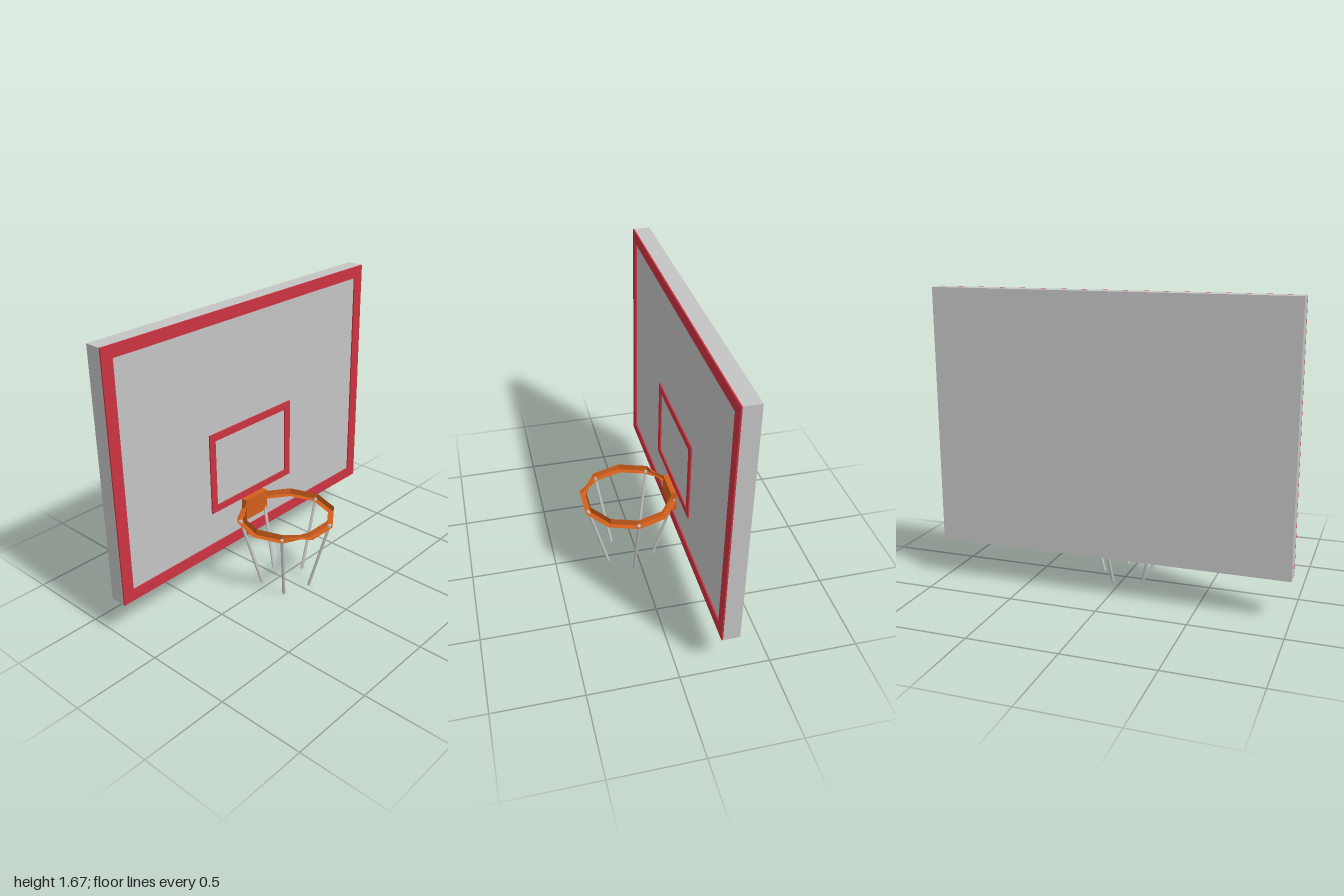
import * as THREE from 'three';

const mat = (name, color) => {
  const m = new THREE.MeshStandardMaterial({ color });
  m.name = name;
  return m;
};

// Rectangular frame with a rectangular hole, extruded along z
function frameGeometry(w, y0, y1, hw, hy0, hy1, depth) {
  const rect = (target, x, a, b) => {
    target.moveTo(-x, a);
    target.lineTo(x, a);
    target.lineTo(x, b);
    target.lineTo(-x, b);
    target.closePath();
    return target;
  };
  const shape = rect(new THREE.Shape(), w, y0, y1);
  shape.holes.push(rect(new THREE.Path(), hw, hy0, hy1));
  return new THREE.ExtrudeGeometry(shape, { depth, bevelEnabled: false });
}

// Ten-sided hoop of square section; the sections on the -x side are turned a quarter
function hoopGeometry(inner, outer, y0, y1) {
  const sides = 10;
  const corners = [[outer, y1], [outer, y0], [inner, y0], [inner, y1]];
  const turned = (i) => i % sides >= 4 && i % sides <= 6;
  const point = (i, j) => {
    const a = (i / sides) * Math.PI * 2;
    const [r, y] = corners[(j + (turned(i) ? 0 : 1)) % 4];
    return [r * Math.cos(a), y, r * Math.sin(a)];
  };
  const pos = [];
  for (let i = 0; i < sides; i++) {
    for (let j = 0; j < 4; j++) {
      const a = point(i, j), b = point(i, j + 1);
      const c = point(i + 1, j + 1), d = point(i + 1, j);
      // Fold each face inward where the section turns
      if (turned(i + 1) && !turned(i)) pos.push(...a, ...d, ...b, ...b, ...d, ...c);
      else pos.push(...a, ...d, ...c, ...a, ...c, ...b);
    }
  }
  const g = new THREE.BufferGeometry();
  g.setAttribute('position', new THREE.Float32BufferAttribute(pos, 3));
  // Put the face corners in outward order
  const p = g.attributes.position;
  for (let t = 0; t < p.count; t += 3) {
    const [x, y, z] = [p.getX(t + 1), p.getY(t + 1), p.getZ(t + 1)];
    p.setXYZ(t + 1, p.getX(t + 2), p.getY(t + 2), p.getZ(t + 2));
    p.setXYZ(t + 2, x, y, z);
  }
  g.computeVertexNormals();
  return g;
}

export function createModel() {
  const model = new THREE.Group();
  model.name = 'basketballHoop';
  const grey = mat('boardGrey', 0xc4c4c4);
  const red = mat('frameRed', 0xcc3340);
  const orange = mat('rimOrange', 0xd2601c);
  const cord = mat('netGrey', 0xc6c6c6);

  const add = (name, geometry, material, x = 0, y = 0, z = 0) => {
    const mesh = new THREE.Mesh(geometry, material);
    mesh.name = name;
    mesh.position.set(x, y, z);
    model.add(mesh);
    return mesh;
  };

  // Backboard and its painted borders
  add('backboard', new THREE.BoxGeometry(2, 1.44, 0.093), grey, 0, 0.95, -0.2715);
  add('outerBorder', frameGeometry(1, 0.23, 1.67, 0.932, 0.297, 1.603, 0.008), red, 0, 0, -0.225);
  add('targetBorder', frameGeometry(0.333, 0.497, 0.985, 0.29, 0.537, 0.941, 0.008), red, 0, 0, -0.225);

  // Mounting plate and rim
  const hoopZ = 0.046;
  add('mountingPlate', new THREE.BoxGeometry(0.178, 0.13, 0.037), orange, 0, 0.428, -0.2045);
  add('rim', hoopGeometry(0.252, 0.285, 0.431, 0.467), orange, 0, 0, hoopZ);

  // Net cords leaning inward
  const up = new THREE.Vector3(0, 1, 0);
  for (let i = 0; i < 5; i++) {
    const a = (i / 5) * Math.PI * 2;
    const at = (r, y) => new THREE.Vector3(r * Math.cos(a), y, hoopZ + r * Math.sin(a));
    const top = at(0.269, 0.445), bottom = at(0.146, 0.003);
    const dir = top.clone().sub(bottom);
    const strand = add('netCord' + (i + 1), new THREE.CylinderGeometry(0.0095, 0.0095, dir.length(), 6), cord);
    strand.position.copy(top).add(bottom).multiplyScalar(0.5);
    strand.quaternion.setFromUnitVectors(up, dir.normalize());
  }
  return model;
}
